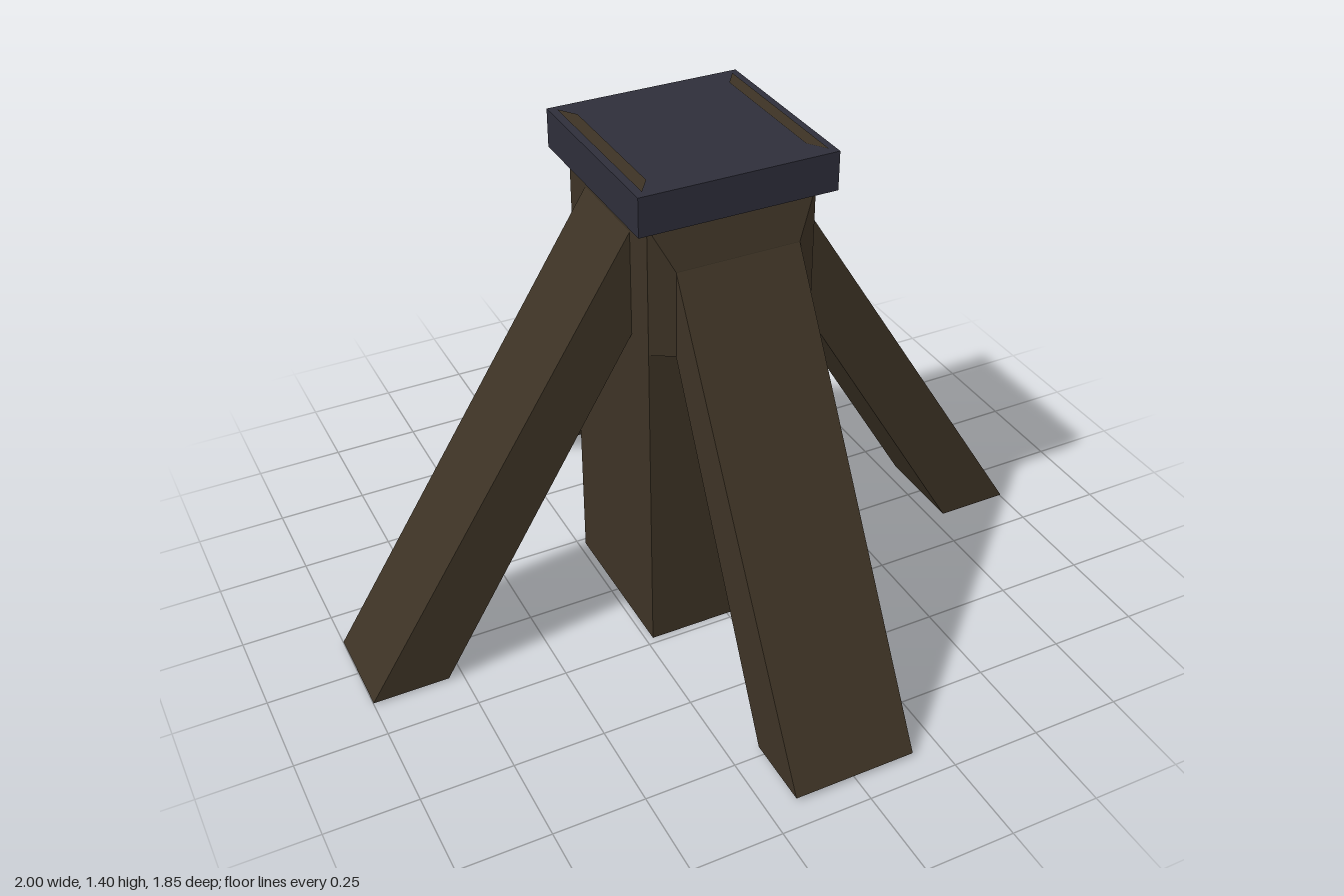
import * as THREE from 'three';

const wood = new THREE.MeshStandardMaterial({ color: 0x3d3325, flatShading: true });
const slate = new THREE.MeshStandardMaterial({ color: 0x2e2e3a, flatShading: true });
const trim = new THREE.MeshStandardMaterial({ color: 0x3d3325, side: THREE.DoubleSide });

function add(parent, name, geometry, material) {
  const mesh = new THREE.Mesh(geometry, material);
  mesh.name = name;
  parent.add(mesh);
  return mesh;
}

function shapeOf(points) {
  return new THREE.Shape(points.map(([x, y]) => new THREE.Vector2(x, y)));
}

// Sloping brace: side profile (distance from the centre, height) given a width
function braceGeometry(profile, width) {
  const geometry = new THREE.ExtrudeGeometry(shapeOf(profile), { depth: width, bevelEnabled: false });
  return geometry.translate(0, 0, -width / 2);
}

// Collar behind a front or back brace: wide at the post, narrow at its face, sloped at the top
function collarGeometry() {
  const ring = (y, half, z) => [[-half, y, z], [half, y, z]];
  const [a, b] = ring(0.93, 0.23, 0.229), [c, d] = ring(0.93, 0.17, 0.265);
  const [e, f] = ring(1.17, 0.17, 0.265), [g, h] = ring(1.29, 0.23, 0.229);
  const quads = [[c, d, f, e], [e, f, h, g], [a, b, d, c]];
  const positions = quads.flatMap(([p, q, r, s]) => [p, q, r, p, r, s]);
  positions.push(d, b, h, d, h, f, a, c, e, a, e, g);
  const geometry = new THREE.BufferGeometry();
  geometry.setAttribute('position', new THREE.Float32BufferAttribute(positions.flat(), 3));
  geometry.computeVertexNormals();
  return geometry;
}

export function createModel() {
  const model = new THREE.Group();
  model.name = 'bracedPost';

  // Central post and its cap
  add(model, 'post', new THREE.BoxGeometry(0.46, 1.29, 0.46), wood).position.y = 0.645;
  add(model, 'cap', new THREE.BoxGeometry(0.54, 0.106, 0.54), slate).position.y = 1.343;

  const sideBrace = braceGeometry([[0.79, 0.005], [1, 0.005], [0.23, 1.23], [0.22, 1.23], [0.22, 0.955]], 0.265);
  const frontBrace = braceGeometry([[0.73, 0.01], [0.925, 0.01], [0.23, 1.23], [0.22, 1.23], [0.22, 1.01]], 0.34);
  const collar = collarGeometry();
  const strip = new THREE.ShapeGeometry(shapeOf([[0.25, -0.25], [0.25, 0.25], [0.215, 0.2], [0.215, -0.2]]));
  strip.rotateX(-Math.PI / 2);

  // Opposite pairs of braces, collars and cap edge strips
  for (const turn of [0, Math.PI]) {
    add(model, 'sideBrace', sideBrace, wood).rotation.y = turn;
    add(model, 'endBrace', frontBrace, wood).rotation.y = turn - Math.PI / 2;
    add(model, 'collar', collar, wood).rotation.y = turn;
    const edge = add(model, 'capStrip', strip, trim);
    edge.rotation.y = turn;
    edge.position.y = 1.398;
  }
  return model;
}
